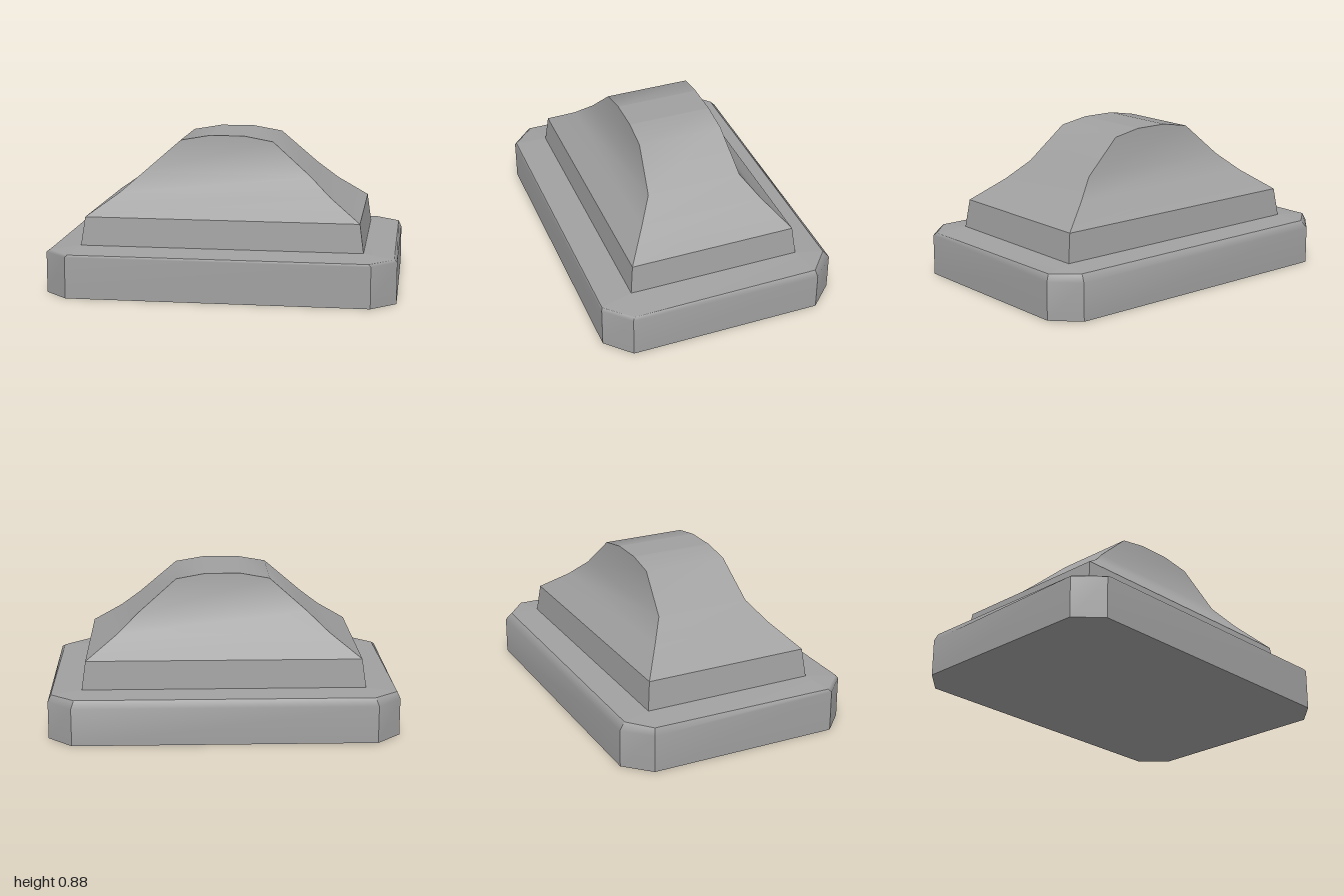
import * as THREE from 'three';
import { mergeGeometries } from 'three/addons/utils/BufferGeometryUtils.js';

// Surface through stacked loops: smooth up each side, sharp between sides
function loft(loops) {
  const n = loops[0].length, panels = [];
  for (let i = 0; i < n; i++) {
    const pos = [], idx = [];
    loops.forEach((loop, r) => {
      pos.push(...loop[i], ...loop[(i + 1) % n]);
      if (r) {
        const a = 2 * r - 2;
        idx.push(a, a + 1, a + 3, a, a + 3, a + 2);
      }
    });
    panels.push(build(pos, idx));
  }
  return mergeGeometries(panels);
}

// Flat lid over a loop, facing up or down
function cap(loop, up) {
  const idx = [];
  for (let i = 1; i < loop.length - 1; i++) idx.push(0, up ? i : i + 1, up ? i + 1 : i);
  return build(loop.flat(), idx);
}

function build(pos, idx) {
  const g = new THREE.BufferGeometry();
  g.setAttribute('position', new THREE.Float32BufferAttribute(pos, 3));
  g.setIndex(idx);
  g.computeVertexNormals();
  return g;
}

const rect = (x, y, z) => [[x, y, z], [x, y, -z], [-x, y, -z], [-x, y, z]];

// Slab outline with cut corners
const outline = (x, cx, zf, zb, cz, yf, yb) => [
  [x, yf, cz], [x, yb, -cz], [cx, yb, -zb], [-cx, yb, -zb],
  [-x, yb, -cz], [-x, yf, cz], [-cx, yf, zf], [cx, yf, zf],
];

export function createModel() {
  const model = new THREE.Group();
  model.name = 'pedestalCap';
  const stone = new THREE.MeshStandardMaterial({ color: 0xa0a0a0 });
  stone.name = 'grey stone';
  const add = (name, parts) => {
    const mesh = new THREE.Mesh(mergeGeometries(parts), stone);
    mesh.name = name;
    model.add(mesh);
  };

  // Base slab, bevelled along the back, with a gently rising top
  const foot = outline(1, 0.86, 0.69, 0.695, 0.555, 0.008, 0.01);
  const shoulder = outline(1, 0.86, 0.69, 0.695, 0.555, 0.245, 0.225);
  const rim = outline(0.982, 0.845, 0.683, 0.66, 0.545, 0.258, 0.265);
  const inner = rect(0.81, 0.277, 0.5);
  const seam = [0, 1, 1, 2, 2, 3, 3, 0].map((i) => inner[i]);
  add('baseSlab', [loft([foot, shoulder, rim]), loft([rim, seam]), cap(foot, false)]);

  // Upright plinth
  const plinthTop = rect(0.787, 0.44, 0.482);
  add('plinth', [loft([inner, plinthTop])]);

  // Flared crown: concave front and back, rounded ridge
  const crown = [
    plinthTop, rect(0.61, 0.565, 0.36), rect(0.49, 0.67, 0.277),
    rect(0.27, 0.862, 0.247), rect(0.1, 0.892, 0.243),
  ];
  add('crown', [loft(crown), cap(crown[4], true)]);

  return model;
}
